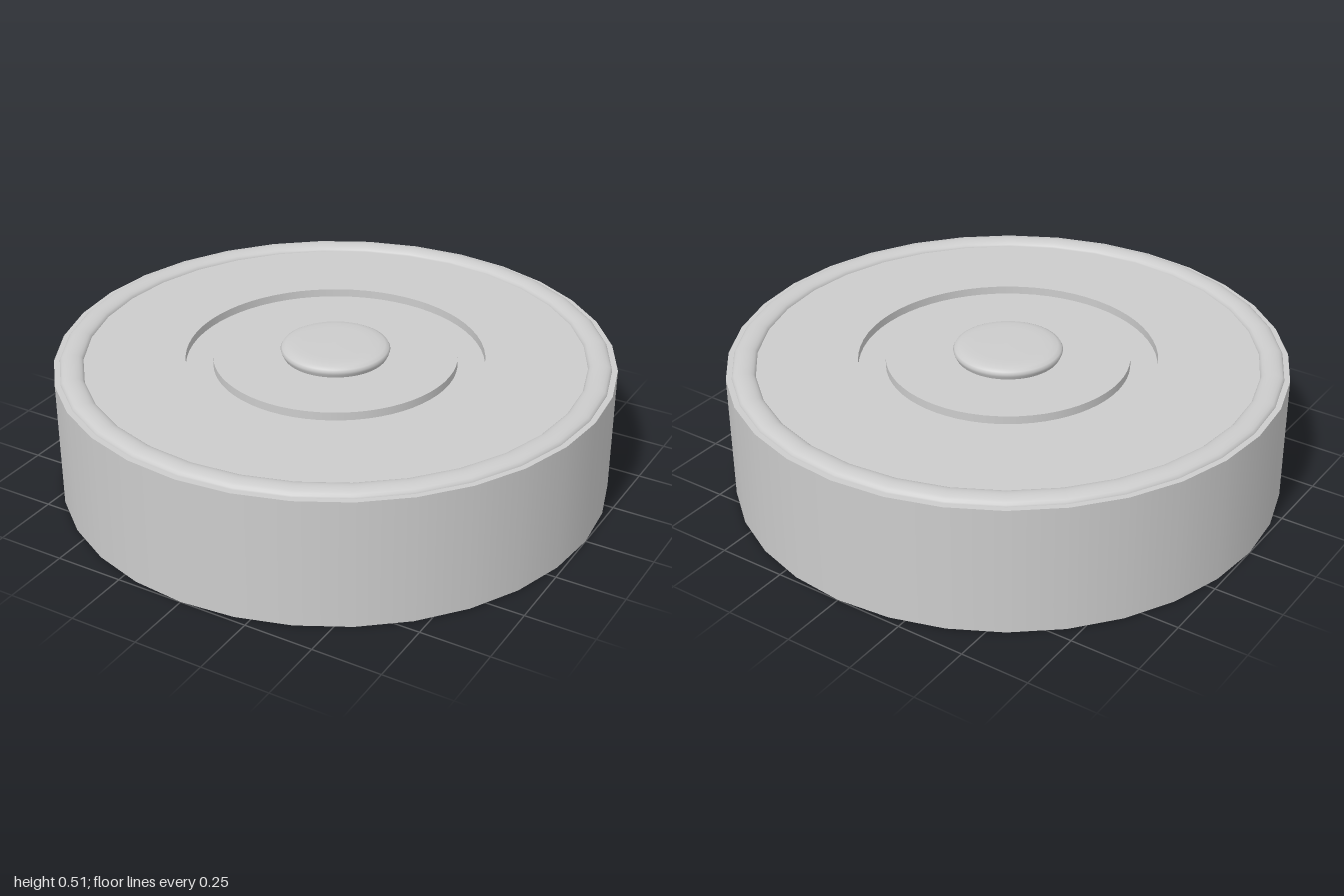
import * as THREE from 'three';
import { mergeGeometries } from 'three/addons/utils/BufferGeometryUtils.js';

const grey = new THREE.MeshStandardMaterial({ color: 0xcccccc });
grey.name = 'lightGrey';

const points = (list) => list.map(([r, y]) => new THREE.Vector2(r, y));

// Turned surface with a hard edge at every profile corner
function hardLathe(profile, sides) {
  const p = points(profile);
  return mergeGeometries(p.slice(1).map((q, i) => new THREE.LatheGeometry([p[i], q], sides)));
}

function part(name, geometry) {
  const mesh = new THREE.Mesh(geometry, grey);
  mesh.name = name;
  return mesh;
}

export function createModel() {
  const group = new THREE.Group();
  const top = 0.47;

  // Drum: closed bottom, straight wall and narrow shoulder
  group.add(part('body', hardLathe([[0, 0], [1, 0], [1, top], [0.93, top]], 32)));

  // Top face with a ring-shaped groove
  const floor = top - 0.03;
  group.add(part('topPanel', hardLathe(
    [[0.93, top], [0.535, top], [0.535, floor], [0.437, floor], [0.437, top], [0, top]], 64)));

  // Low rounded bead around the edge
  const bead = [];
  for (let i = 0; i <= 10; i++) {
    const a = (i / 10) * Math.PI;
    bead.push([0.938 + 0.042 * Math.cos(a), top + 0.02 * Math.sin(a)]);
  }
  group.add(part('rimBead', new THREE.LatheGeometry(points(bead), 32)));

  // Central button with a softened edge
  group.add(part('button', new THREE.LatheGeometry(points([
    [0.187, top], [0.193, 0.482], [0.196, 0.492], [0.191, 0.501],
    [0.178, 0.508], [0.155, 0.512], [0.12, 0.514], [0, 0.515],
  ]), 64)));

  return group;
}
